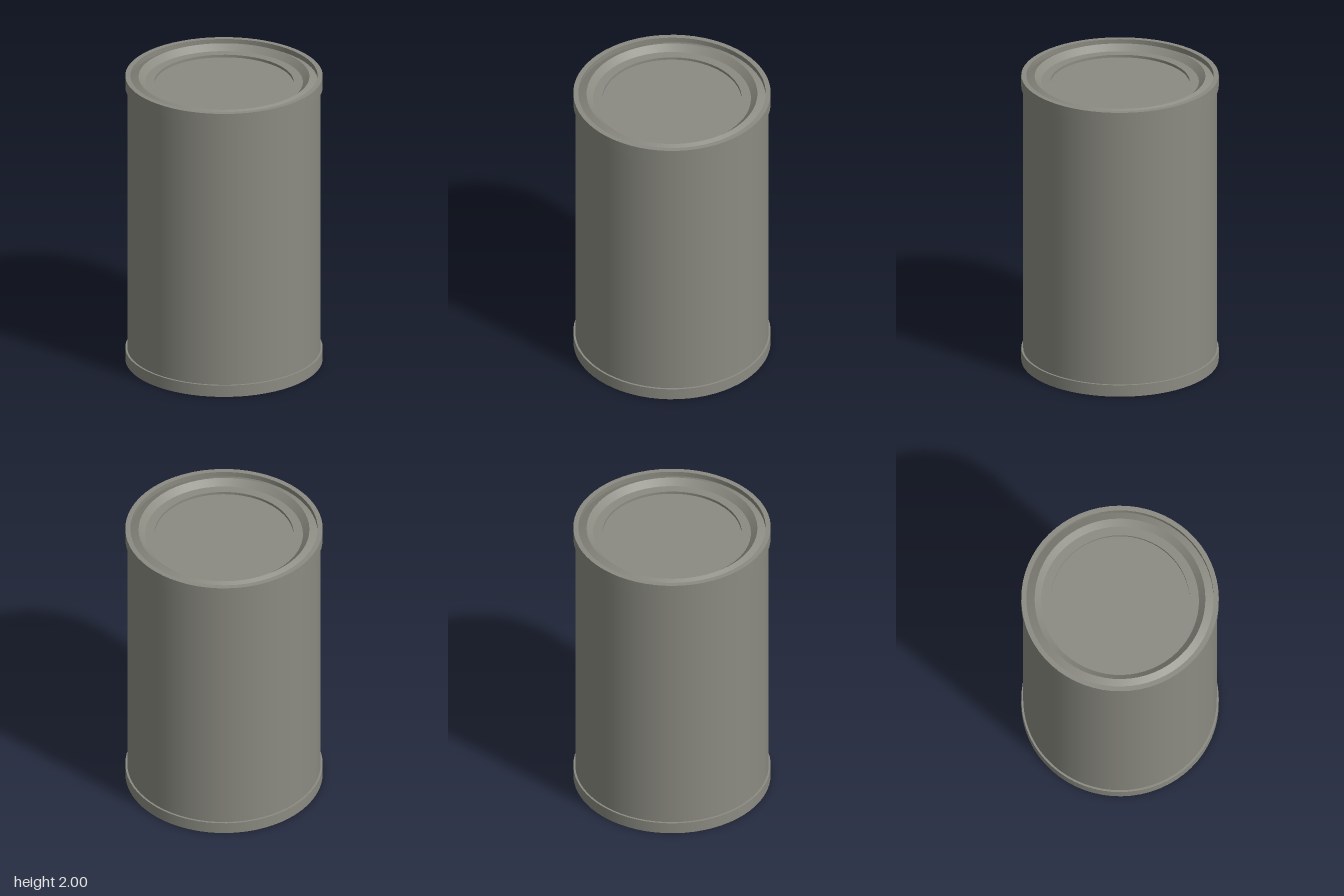
import * as THREE from 'three';
import { mergeGeometries } from 'three/addons/utils/BufferGeometryUtils.js';

const SEGMENTS = 64;

// Revolves each straight run of the profile on its own, so the edges between runs stay sharp.
function revolve(profile) {
  const bands = [];
  for (let i = 0; i < profile.length - 1; i++) {
    const ends = [profile[i], profile[i + 1]].map(([r, y]) => new THREE.Vector2(r, y));
    bands.push(new THREE.LatheGeometry(ends, SEGMENTS));
  }
  return mergeGeometries(bands);
}

export function createModel() {
  const metal = new THREE.MeshStandardMaterial({ color: 0x8b8b82 });
  metal.name = 'grey metal';

  // Profiles are [radius, height], running counter-clockwise from the underside to the top.
  const parts = {
    // recessed underside with a tapered wall
    base: [[0, 0.066], [0.567, 0.066], [0.61, 0]],
    bottomRim: [[0.61, 0], [0.643, 0], [0.643, 0.08], [0.63, 0.08]],
    body: [[0.63, 0.08], [0.63, 1.92]],
    topRim: [[0.63, 1.92], [0.643, 1.92], [0.643, 2], [0.61, 2], [0.61, 1.965]],
    // raised ridge, step and sunken centre panel
    lid: [[0.61, 1.965], [0.556, 1.993], [0.514, 1.955], [0.454, 1.955], [0.454, 1.937], [0, 1.937]],
  };

  const can = new THREE.Group();
  can.name = 'can';
  for (const [name, profile] of Object.entries(parts)) {
    const mesh = new THREE.Mesh(revolve(profile), metal);
    mesh.name = name;
    can.add(mesh);
  }
  return can;
}
